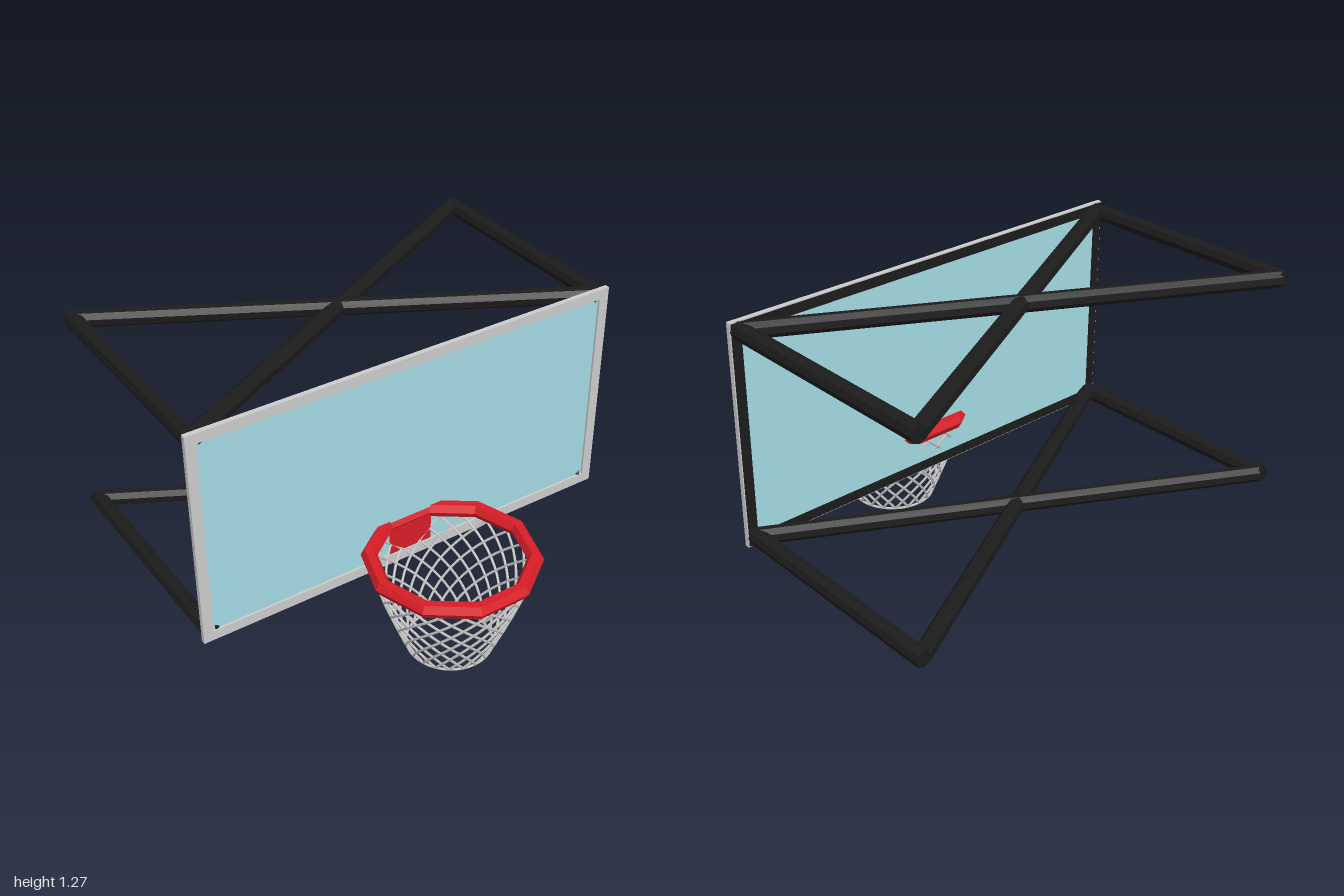
import * as THREE from 'three';

const material = (color, extra = {}) =>
  new THREE.MeshStandardMaterial({ color, flatShading: true, ...extra });
const grey = material(0xcccccc);
const black = material(0x1c1c1c);
const red = material(0xd81e28);
const glass = material(0xa4dae3);

const HOOP_Z = 0.505;
const RIM_Y = 0.46;
const BOARD_Y = 0.77;

function add(parent, name, geometry, mat, x = 0, y = 0, z = 0) {
  const mesh = new THREE.Mesh(geometry, mat);
  mesh.name = name;
  mesh.position.set(x, y, z);
  parent.add(mesh);
  return mesh;
}

// Rectangular frame with a hole, starting at z = 0 and growing towards +z
function frameGeometry(w, h, border, depth) {
  const rect = (target, a, b) => target
    .moveTo(-a, -b).lineTo(a, -b).lineTo(a, b).lineTo(-a, b).closePath();
  const shape = rect(new THREE.Shape(), w / 2, h / 2);
  shape.holes.push(rect(new THREE.Path(), w / 2 - border, h / 2 - border));
  return new THREE.ExtrudeGeometry(shape, { depth, bevelEnabled: false });
}

// Faceted pole between two points
function pole(parent, name, a, b) {
  const dir = b.clone().sub(a);
  const geometry = new THREE.CylinderGeometry(0.037, 0.037, dir.length(), 8);
  const mesh = add(parent, name, geometry, black);
  mesh.position.copy(a).add(b).multiplyScalar(0.5);
  mesh.quaternion.setFromUnitVectors(new THREE.Vector3(0, 1, 0), dir.normalize());
}

// One net strand winding down the tapered hoop net
function strandGeometry(start, twist) {
  const points = [];
  for (let i = 0; i <= 8; i++) {
    const t = i / 8;
    const angle = start + twist * t;
    const r = 0.345 - 0.16 * t + 0.03 * t * (1 - t);
    points.push(new THREE.Vector3(
      r * Math.cos(angle), THREE.MathUtils.lerp(RIM_Y, 0.006, t), r * Math.sin(angle)));
  }
  return new THREE.TubeGeometry(new THREE.CatmullRomCurve3(points), 16, 0.006, 5);
}

export function createModel() {
  const model = new THREE.Group();
  model.name = 'basketballHoop';

  // Backboard: grey frame, dark backing strip, glass pane and target square
  const board = new THREE.Group();
  board.name = 'backboard';
  model.add(board);
  add(board, 'boardFrame', frameGeometry(2, 1, 0.046, 0.022), grey, 0, BOARD_Y, 0.191);
  add(board, 'frameBacking', frameGeometry(1.99, 0.99, 0.043, 0.004), black, 0, BOARD_Y, 0.187);
  add(board, 'glassPane', new THREE.BoxGeometry(1.91, 0.91, 0.01), glass, 0, BOARD_Y, 0.198);
  add(board, 'targetSquare', new THREE.BoxGeometry(0.21, 0.15, 0.006), red, 0, 0.393, 0.205);

  // Support arms with crossed braces, top and bottom
  const supports = new THREE.Group();
  supports.name = 'supports';
  model.add(supports);
  for (const y of [0.313, 1.233]) {
    for (const side of [-1, 1]) {
      pole(supports, 'sideArm',
        new THREE.Vector3(side * 0.963, y, -0.87), new THREE.Vector3(side * 0.963, y, 0.19));
      pole(supports, 'crossBrace',
        new THREE.Vector3(-side * 0.955, y, -0.85), new THREE.Vector3(side * 0.955, y, 0.18));
    }
  }

  // Ten-sided rim with a hexagonal section
  const rim = new THREE.TorusGeometry(0.34, 0.035, 6, 10).rotateX(Math.PI / 2);
  add(model, 'rim', rim, red, 0, RIM_Y, HOOP_Z);

  // Net of two opposite families of strands, closed by a bottom ring
  const net = new THREE.Group();
  net.name = 'net';
  net.position.z = HOOP_Z;
  model.add(net);
  const strandMaterial = new THREE.MeshStandardMaterial({ color: 0xcccccc });
  const count = 20;
  for (const hand of [-1, 1]) {
    const geometry = strandGeometry(0, hand * Math.PI / 2);
    for (let i = 0; i < count; i++) {
      add(net, 'netStrand', geometry, strandMaterial).rotation.y = (i / count) * Math.PI * 2;
    }
  }
  const ring = new THREE.TorusGeometry(0.185, 0.006, 5, 40).rotateX(Math.PI / 2);
  add(net, 'netBottomRing', ring, strandMaterial, 0, 0.006, 0);

  return model;
}
